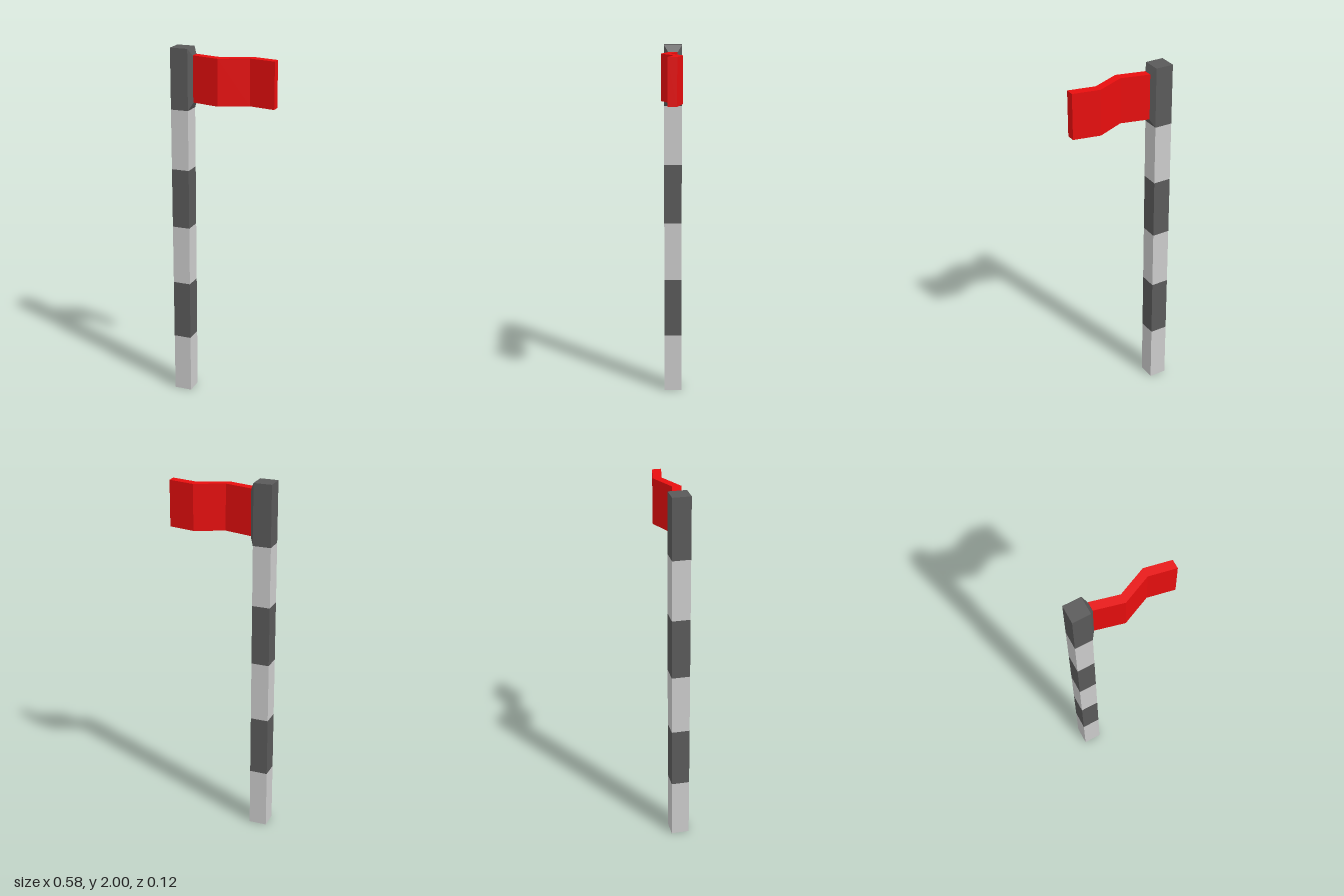
import * as THREE from 'three';

const material = (color) => new THREE.MeshStandardMaterial({ color, flatShading: true });

export function createModel() {
  const group = new THREE.Group();
  const grey = material(0xcccccc);
  const dark = material(0x5a5a5a);
  const red = material(0xe80e0e);

  const add = (name, geometry, mat) => {
    const mesh = new THREE.Mesh(geometry, mat);
    mesh.name = name;
    group.add(mesh);
    return mesh;
  };

  // Square post in six alternating bands
  const width = 0.099, postX = -0.2385, midZ = -0.0055, bands = 6, bandHeight = 2 / bands;
  for (let i = 0; i < bands; i++) {
    const band = add('postBand' + (i + 1), new THREE.BoxGeometry(width, bandHeight, width), i % 2 ? dark : grey);
    band.position.set(postX, (i + 0.5) * bandHeight, midZ);
  }

  // Collar tapering from the top band to the flag
  const bottom = 1.71, top = 1.963, thickness = 0.049;
  const collar = new THREE.BoxGeometry(0.021, bandHeight, width);
  const p = collar.attributes.position;
  for (let i = 0; i < p.count; i++) {
    if (p.getX(i) > 0) {
      p.setY(i, Math.sign(p.getY(i)) * (top - bottom) / 2);
      p.setZ(i, Math.sign(p.getZ(i)) * thickness / 2);
    }
  }
  collar.computeVertexNormals();
  add('flagCollar', collar, dark).position.set(-0.1785, 2 - bandHeight / 2, midZ);

  // Waving flag: zigzag centre line [x, z] thickened along z and extruded upwards
  const path = [[-0.168, -0.0055], [-0.013, 0.0335], [0.142, -0.0355], [0.288, -0.0055]];
  const side = (offset) => path.map(([x, z]) => new THREE.Vector2(x, -(z + offset)));
  const outline = new THREE.Shape([...side(thickness / 2), ...side(-thickness / 2).reverse()]);
  const flag = new THREE.ExtrudeGeometry(outline, { depth: top - bottom, bevelEnabled: false });
  flag.rotateX(-Math.PI / 2);
  add('flag', flag, red).position.y = bottom;

  return group;
}
